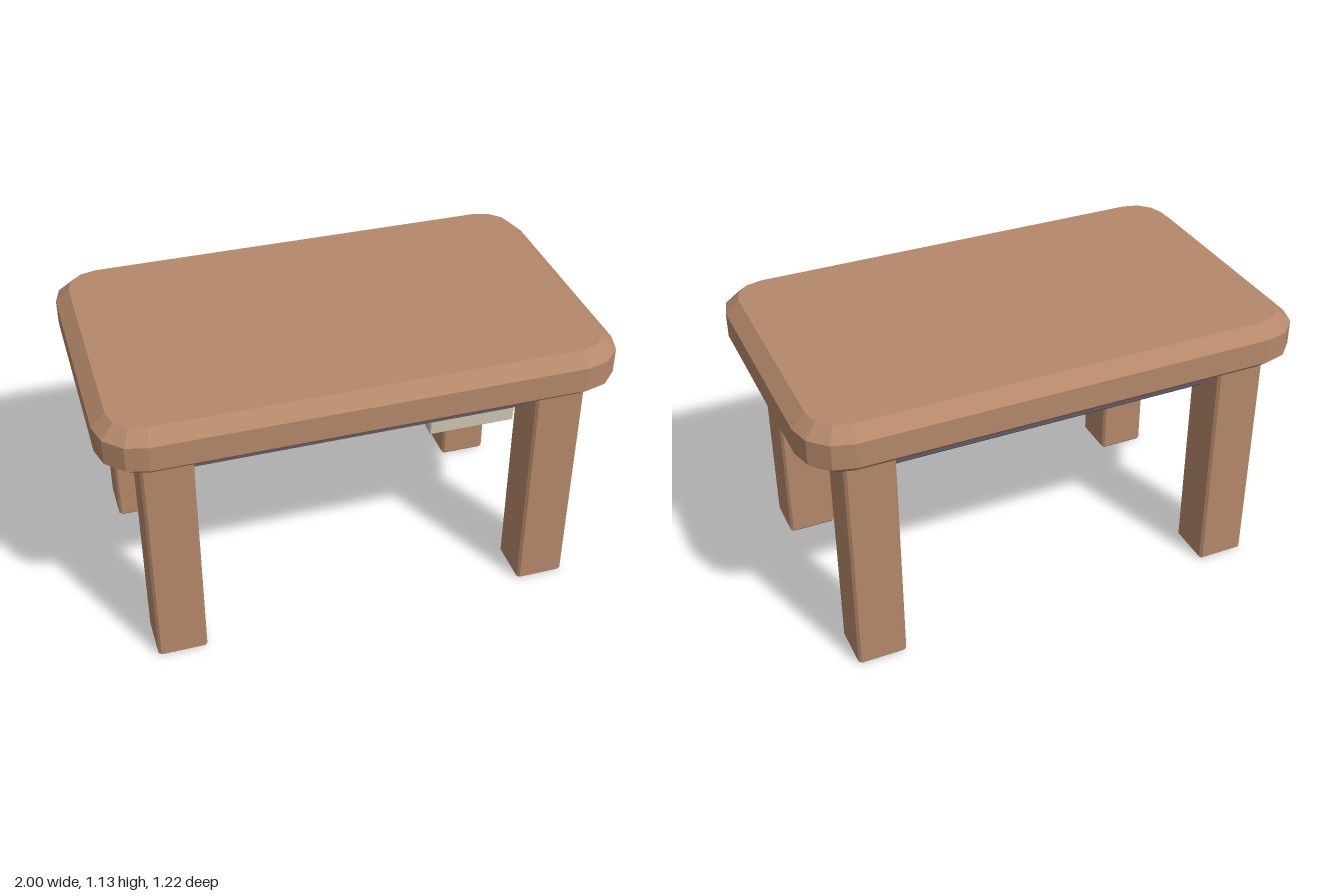
import * as THREE from 'three';

const wood = new THREE.MeshStandardMaterial({ name: 'brown wood', color: 0xb5886a });
const slate = new THREE.MeshStandardMaterial({ name: 'dark purple', color: 0x625a69 });
const tan = new THREE.MeshStandardMaterial({ name: 'pale tan', color: 0xd0b48d });
const cream = new THREE.MeshStandardMaterial({ name: 'grey cream', color: 0xcdc4b2 });

// Rectangle outline with faceted round corners
function outline(hx, hz, r, segments) {
  const points = [];
  [[1, 1], [-1, 1], [-1, -1], [1, -1]].forEach(([sx, sz], corner) => {
    for (let i = 0; i <= segments; i++) {
      const a = (corner + i / segments) * Math.PI / 2;
      points.push(new THREE.Vector2(
        sx * (hx - r) + r * Math.cos(a),
        sz * (hz - r) + r * Math.sin(a)));
    }
  });
  return new THREE.Shape(points);
}

// Upright block with chamfered top and bottom edges, placed by its limits
function block(name, material, [x0, x1], [y0, y1], [z0, z1], radius, segments, inset, rise) {
  const shape = outline((x1 - x0) / 2 - inset, (z1 - z0) / 2 - inset, radius - inset, segments);
  const geometry = new THREE.ExtrudeGeometry(shape, {
    depth: y1 - y0 - 2 * rise,
    bevelEnabled: true,
    bevelSegments: 1,
    bevelSize: inset,
    bevelThickness: rise,
  });
  geometry.rotateX(-Math.PI / 2);
  geometry.translate((x0 + x1) / 2, y0 + rise, (z0 + z1) / 2);
  const mesh = new THREE.Mesh(geometry, material);
  mesh.name = name;
  return mesh;
}

export function createModel() {
  const table = new THREE.Group();
  table.name = 'table';

  // Thick top and the smaller slab under it
  table.add(block('tableTop', wood, [-1, 1], [0.935, 1.132], [-0.608, 0.608], 0.18, 3, 0.055, 0.048));
  table.add(block('underSlab', slate, [-0.855, 0.855], [0.803, 1.0], [-0.455, 0.455], 0.16, 3, 0.053, 0.043));

  // Four legs
  for (const sx of [-1, 1]) {
    for (const sz of [-1, 1]) {
      const x = sx * 0.76, z = sz * 0.442;
      table.add(block('leg', wood, [x - 0.098, x + 0.098], [0.003, 0.96], [z - 0.096, z + 0.096], 0.014, 1, 0.009, 0.01));
    }
  }

  // Long rail and the short block beside it
  table.add(block('rail', tan, [-0.697, 0.697], [0.605, 0.83], [0.03, 0.15], 0.008, 1, 0.005, 0.006));
  table.add(block('sideBlock', cream, [0.36, 0.72], [0.605, 0.716], [0.165, 0.231], 0.004, 1, 0.003, 0.003));

  return table;
}
